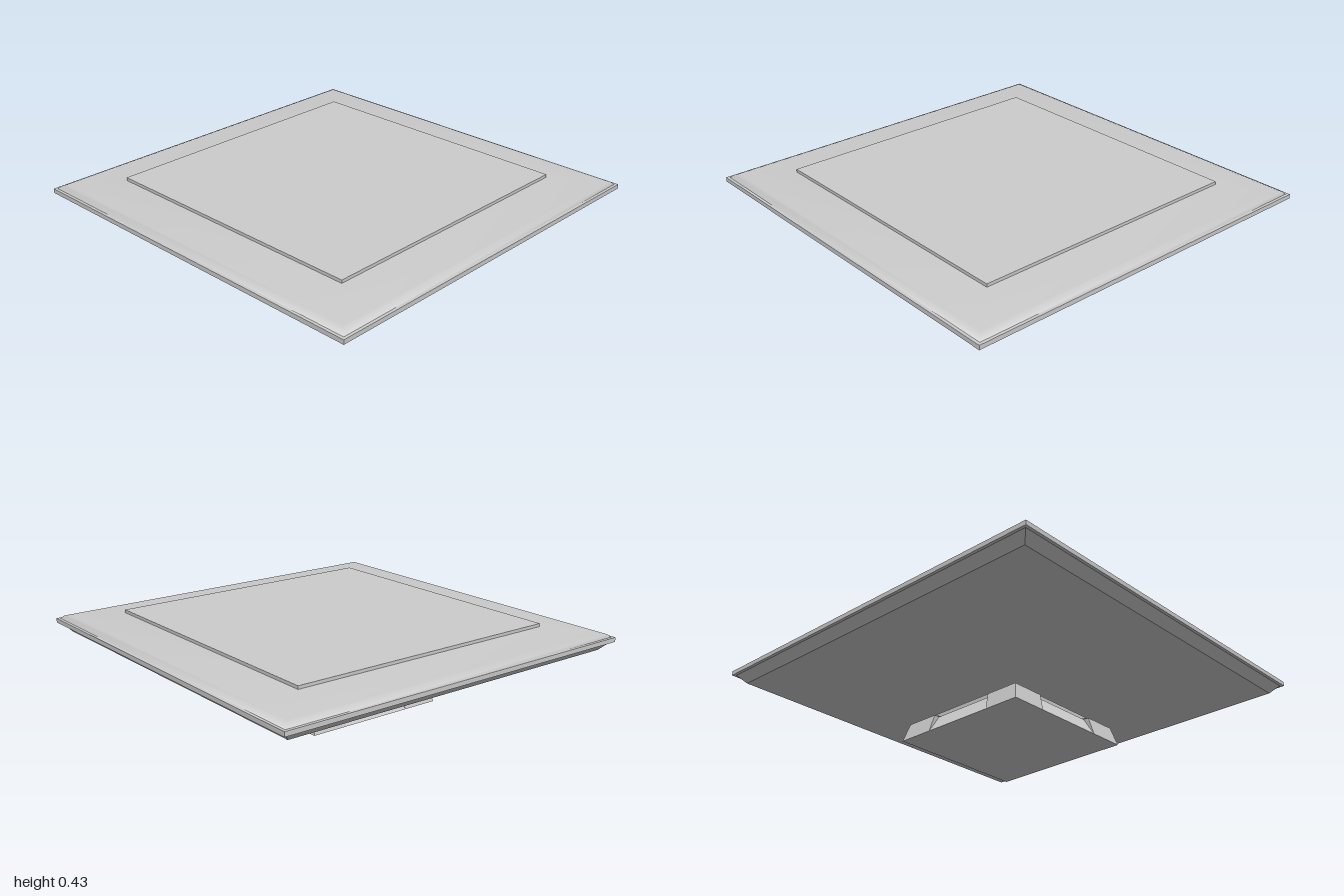
import * as THREE from 'three';

const material = new THREE.MeshStandardMaterial({ color: 0xcccccc });
const flatMaterial = new THREE.MeshStandardMaterial({ color: 0xcccccc, flatShading: true });

// Joins horizontal outlines of equal length; each section is { y, outline: [[x, z], ...] }
function loft(name, sections, { caps = true, smooth = false } = {}) {
  const n = sections[0].outline.length;
  const pos = [];
  const index = [];
  for (const { y, outline } of sections) {
    for (const [x, z] of outline) pos.push(x, y, z);
  }
  for (let s = 0; s < sections.length - 1; s++) {
    for (let i = 0; i < n; i++) {
      const a = s * n + i;
      const b = s * n + ((i + 1) % n);
      index.push(a, b, b + n, a, b + n, a + n);
    }
  }
  if (caps) {
    const last = sections.length - 1;
    const centre = pos.length / 3;
    pos.push(0, sections[0].y, 0, 0, sections[last].y, 0);
    for (let i = 0; i < n; i++) {
      const j = (i + 1) % n;
      index.push(centre, j, i, centre + 1, last * n + i, last * n + j);
    }
  }
  let geometry = new THREE.BufferGeometry();
  geometry.setAttribute('position', new THREE.Float32BufferAttribute(pos, 3));
  geometry.setIndex(index);
  if (!smooth) geometry = geometry.toNonIndexed();
  geometry.computeVertexNormals();
  const mesh = new THREE.Mesh(geometry, smooth ? material : flatMaterial);
  mesh.name = name;
  return mesh;
}

// Square section of half width h
const square = (h, y) => ({ y, outline: [[h, h], [h, -h], [-h, -h], [-h, h]] });

// Square section with a recess of half width w in the middle of each side
function notched(h, recess, w, y) {
  const side = [[h, h], [h, w], [recess, w], [recess, -w], [h, -w]];
  const outline = [];
  for (let k = 0; k < 4; k++) {
    const c = Math.round(Math.cos(k * Math.PI / 2));
    const s = Math.round(Math.sin(k * Math.PI / 2));
    for (const [x, z] of side) outline.push([x * c + z * s, -x * s + z * c]);
  }
  return { y, outline };
}

export function createModel() {
  const model = new THREE.Group();

  // Lower foot: tapered base with a steeper recess on each side
  const foot = new THREE.Group();
  foot.name = 'foot';
  foot.add(loft('footBase', [
    notched(0.38, 0.38, 0.19, 0),
    notched(0.355, 0.325, 0.18, 0.09),
  ]));
  foot.add(loft('footBlock', [square(0.293, 0.09), square(0.293, 0.13)]));
  model.add(foot);

  // Floating slab: bevelled underside, thin rim, soft shoulder and raised panel
  const slab = new THREE.Group();
  slab.name = 'slab';
  slab.add(loft('underside', [square(0.943, 0.303), square(0.985, 0.347)]));
  slab.add(loft('rim', [square(1, 0.347), square(1, 0.37)]));
  slab.add(loft('shoulder', [
    square(0.985, 0.37),
    square(0.972, 0.384),
    square(0.95, 0.392),
    square(0.74, 0.412),
  ], { caps: false, smooth: true }));
  slab.add(loft('topPanel', [square(0.74, 0.41), square(0.74, 0.428)]));
  model.add(slab);

  return model;
}
